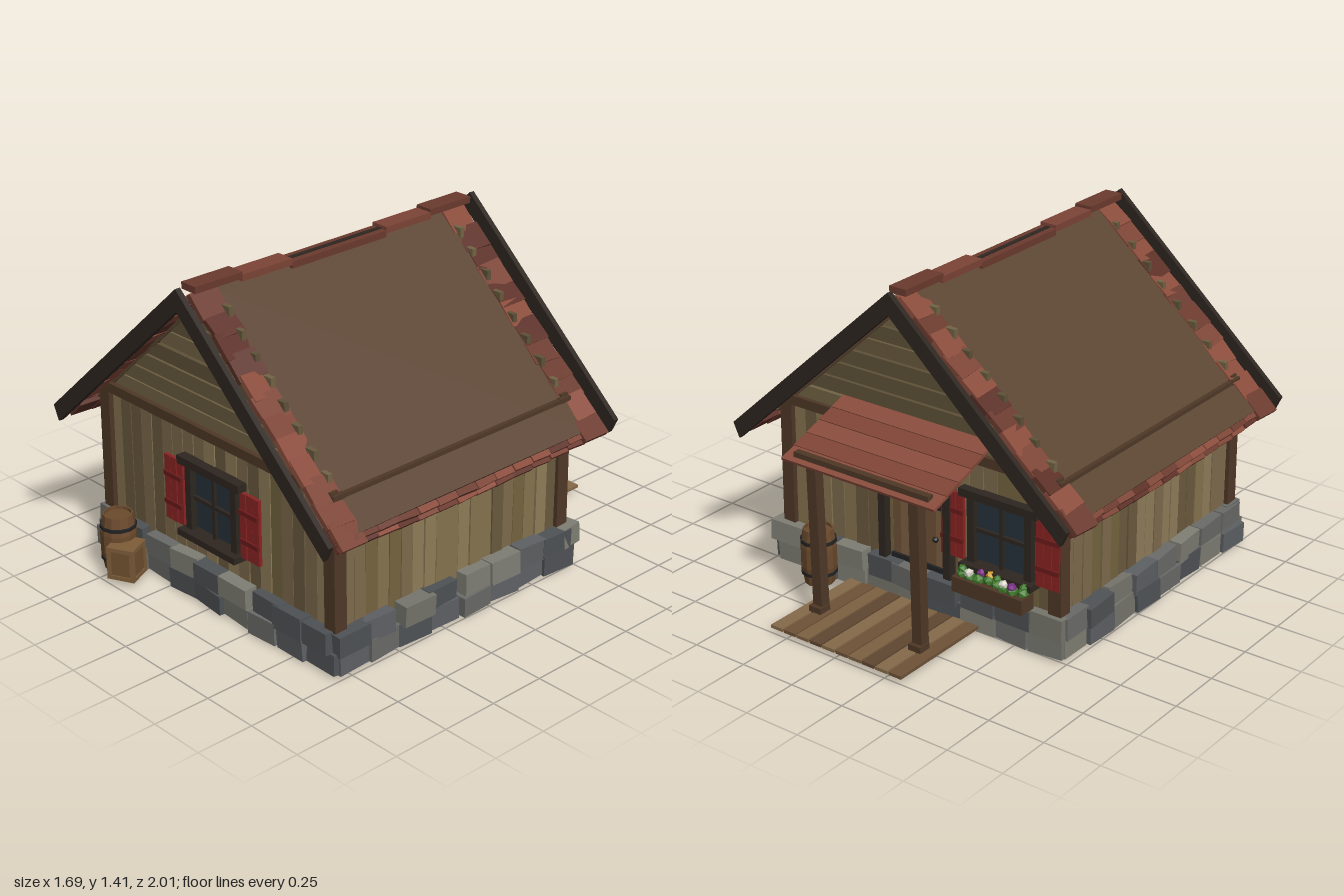
import * as THREE from 'three';

const WOOD = [0x85734f, 0x74643f, 0x8f7d59, 0x6a5a3e, 0x7d6b4c];
const GABLE = [0x685a3e, 0x5f5138, 0x726345];
const STONE = [0x75756c, 0x5d6063, 0x6a6b68, 0x4f5255, 0x7f7e74];
const TILE = [0x6b3a2e, 0x7c4436, 0x5c3027, 0x8a4c3c];
const DECK = [0x6e5237, 0x7d6142, 0x5f4630, 0x866a49];
const BEAM = 0x4f3827, DARK = 0x2e2620, RED = 0x8c2323, ROOF = 0x5b4432, IRON = 0x222224;
const SLOPE = 0.905, PITCH = Math.atan(SLOPE), RIDGE = 1.38;
const FRONT = 0.77, BACK = -0.46, MID = 0.155;

export function createModel() {
  const model = new THREE.Group();
  const mats = {};
  const mat = c => mats[c] ??= new THREE.MeshStandardMaterial({ color: c, flatShading: true });
  let seed = 7;
  const rnd = () => (seed = (seed * 16807) % 2147483647) / 2147483647;
  const jit = a => (rnd() * 2 - 1) * a;
  const pick = list => list[Math.floor(rnd() * list.length)];

  const group = (name, parent = model) => {
    const g = new THREE.Group();
    g.name = name;
    parent.add(g);
    return g;
  };
  const add = (parent, name, geo, color, x = 0, y = 0, z = 0, rx = 0, ry = 0, rz = 0) => {
    const m = new THREE.Mesh(geo, mat(color));
    m.name = name;
    m.position.set(x, y, z);
    m.rotation.set(rx, ry, rz);
    parent.add(m);
    return m;
  };
  const box = (parent, name, w, h, d, color, x, y, z, rx, ry, rz) =>
    add(parent, name, new THREE.BoxGeometry(w, h, d), color, x, y, z, rx, ry, rz);

  // A wall of upright planks, split around openings {u, half, y0, y1}
  const plankWall = (g, length, top, openings) => {
    const n = Math.round(length / 0.064), step = length / n;
    for (let i = 0; i < n; i++) {
      const u = -length / 2 + (i + 0.5) * step;
      const hole = openings.find(o => Math.abs(u - o.u) < o.half);
      const spans = hole ? [[0.1, hole.y0], [hole.y1, top]] : [[0.1, top]];
      const color = pick(WOOD), tilt = jit(0.008), w = step * (0.93 + rnd() * 0.06), off = jit(0.005);
      for (const [a, b] of spans)
        if (b - a > 0.01) box(g, 'wallPlank', w, b - a, 0.022, color, u, (a + b) / 2, off, 0, 0, tilt);
    }
  };

  // Two uneven courses of foundation stones
  const stoneRow = (g, length, z) => {
    for (let row = 0; row < 2; row++) {
      const n = Math.round(length / 0.17), step = length / n;
      for (let i = 0; i < n; i++) {
        const u = -length / 2 + (i + 0.5 + (row ? jit(0.15) : 0)) * step;
        box(g, 'foundationStone', step * (0.92 + rnd() * 0.12), 0.085 + rnd() * 0.015, 0.09 + rnd() * 0.02,
          pick(STONE), u, 0.057 + row * 0.085, z + jit(0.012), jit(0.05), jit(0.07), jit(0.05));
      }
    }
  };

  // Framed window with glazing bars and ledged shutters
  const windowUnit = (parent, u) => {
    const g = group('window', parent);
    g.position.set(u, 0, 0.01);
    box(g, 'glass', 0.27, 0.27, 0.012, 0x26333c, 0, 0.445, -0.005);
    box(g, 'mullion', 0.016, 0.28, 0.02, DARK, 0, 0.445, 0.005);
    box(g, 'transom', 0.25, 0.016, 0.02, DARK, 0, 0.445, 0.005);
    box(g, 'lintel', 0.375, 0.035, 0.045, DARK, 0, 0.602, 0.02);
    box(g, 'sill', 0.35, 0.028, 0.07, DARK, 0, 0.29, 0.025);
    for (const s of [-1, 1]) {
      box(g, 'jamb', 0.034, 0.29, 0.035, DARK, s * 0.138, 0.445, 0.012);
      for (let i = -1; i <= 1; i++)
        box(g, 'shutterBoard', 0.035, 0.285, 0.015, RED, s * 0.231 + i * 0.037, 0.443, 0.018 + jit(0.002));
      for (const y of [0.38, 0.505]) box(g, 'shutterLedge', 0.11, 0.02, 0.012, 0x6e1b1b, s * 0.231, y, 0.028);
    }
  };

  // Four walls, each built facing +z and then turned
  const wallAt = (name, x, z, ry) => {
    const g = group(name);
    g.position.set(x, 0, z);
    g.rotation.y = ry;
    return g;
  };
  const frontWall = wallAt('frontWall', 0, FRONT, 0);
  plankWall(frontWall, 1.31, 0.74, [{ u: 0, half: 0.13, y0: 0.3, y1: 0.6 }]);
  windowUnit(frontWall, 0);
  const backWall = wallAt('backWall', 0, BACK, Math.PI);
  plankWall(backWall, 1.31, 0.74, [{ u: 0.42, half: 0.13, y0: 0.3, y1: 0.6 }, { u: 0, half: 0.15, y0: 0.1, y1: 0.6 }]);
  windowUnit(backWall, 0.42);
  for (const g of [frontWall, backWall]) {
    stoneRow(g, 1.46, 0.01);
    box(g, 'tieBeam', 1.38, 0.042, 0.04, BEAM, 0, 0.75, 0.01);
    for (let y = 0.795; y < 1.36; y += 0.071) {
      const half = (1.41 - (y + 0.032)) / SLOPE + 0.012;
      box(g, 'gableBoard', half * 2, 0.062, 0.022, pick(GABLE), jit(0.005), y, jit(0.004), 0, 0, jit(0.002));
    }
  }
  for (const s of [-1, 1]) {
    const g = wallAt('sideWall', s * 0.68, MID, s * Math.PI / 2);
    plankWall(g, 1.19, 0.74, []);
    stoneRow(g, 1.3, 0.015);
    box(g, 'wallPlate', 1.27, 0.035, 0.03, BEAM, 0, 0.742, 0.01);
    for (const z of [FRONT, BACK]) box(model, 'cornerPost', 0.06, 0.755, 0.06, BEAM, s * 0.68, 0.384, z, 0, 0, s * 0.01);
  }

  // Roof decks with tiles along the verges and eaves
  const roof = group('roof');
  const onSlope = (s, x, w, h, d, lift, z, name, color, j = 0, drop = 0) =>
    box(roof, name, w, h, d, color, s * (x + lift * Math.sin(PITCH)), RIDGE - SLOPE * x + lift * Math.cos(PITCH) - drop, z,
      jit(j), jit(j), -s * (PITCH + jit(j)));
  for (const s of [-1, 1]) {
    onSlope(s, 0.405, 0.81 / Math.cos(PITCH), 0.03, 1.26, -0.015, MID, 'roofDeck', ROOF);
    for (let i = 0; i < 12; i++)
      for (const z of [0.815, -0.505])
        onSlope(s, 0.05 + i * 0.068, 0.115, 0.022, 0.13, -0.008, z + jit(0.006), 'vergeTile', pick(TILE), 0.07);
    for (let i = 0; i < 14; i++) {
      const u = (i - 6.5) / 6.5;
      for (let k = 0; k < 2; k++)
        onSlope(s, 0.785 + k * 0.012, 0.1, 0.02, 0.1, -0.012 - k * 0.02, MID + u * 0.675, 'eaveTile', pick(TILE), 0.05, 0.018 * (1 - u * u));
    }
  }
  // Sagging ridge caps
  [[0.765, 0.23, 1.398], [0.525, 0.25, 1.385], [0.15, 0.5, 1.37], [-0.225, 0.25, 1.385], [-0.462, 0.23, 1.398]]
    .forEach(([z, d, y], i) => box(roof, 'ridgeCap', 0.08, 0.028, d, TILE[i % 2], 0, y, z));
  box(roof, 'ridgePole', 0.02, 0.03, 0.5, DARK, 0, 1.373, 0.15);

  // Barge boards: one chevron at each end
  const chevron = new THREE.Shape([[0, 1.41], [0.835, 0.654], [0.805, 0.59], [0, 1.318], [-0.805, 0.59], [-0.835, 0.654]]
    .map(p => new THREE.Vector2(...p)));
  for (const z of [0.918, -0.638])
    add(roof, 'bargeBoard', new THREE.ExtrudeGeometry(chevron, { depth: 0.024, bevelEnabled: false }), DARK, 0, 0, z);

  // Door on the back wall
  const door = group('door', backWall);
  for (let i = 0; i < 5; i++) box(door, 'doorBoard', 0.056, 0.5, 0.02, DECK[i % 3], (i - 2) * 0.06, 0.34, 0);
  for (const y of [0.2, 0.48]) box(door, 'doorStrap', 0.27, 0.022, 0.012, IRON, 0, y, 0.016);
  for (const s of [-1, 1]) box(door, 'doorJamb', 0.035, 0.56, 0.05, DARK, s * 0.165, 0.34, 0.02);
  box(door, 'doorHead', 0.37, 0.04, 0.05, DARK, 0, 0.61, 0.02);
  add(door, 'doorKnob', new THREE.IcosahedronGeometry(0.014, 0), IRON, 0.1, 0.34, 0.03);

  // Porch: deck, posts, beam and lean-to roof
  const porch = group('porch');
  for (let i = 0; i < 10; i++)
    box(porch, 'deckBoard', 0.06, 0.014, 0.49, DECK[(i * 3) % 4], (i - 4.5) * 0.067, 0.032, -0.755);
  for (const s of [-1, 1]) {
    box(porch, 'porchPost', 0.046, 0.68, 0.046, BEAM, s * 0.255, 0.375, -0.79, -0.02);
    box(porch, 'porchFoot', 0.06, 0.03, 0.06, BEAM, s * 0.255, 0.05, -0.795);
    box(porch, 'porchRafter', 0.025, 0.025, 0.35, BEAM, s * 0.255, 0.745, -0.66, -0.35);
  }
  box(porch, 'porchBeam', 0.67, 0.035, 0.03, BEAM, 0, 0.712, -0.81);
  for (let i = 0; i < 5; i++) {
    const z = -0.5 - i * 0.076;
    box(porch, 'porchTileCourse', 0.76, 0.012, 0.09, [0x8a4c3c, 0x7f4536][i % 2], 0, 0.82 + (z + 0.5) * 0.37, z, -0.31);
  }

  // Lantern on a bracket
  const lantern = group('lantern');
  lantern.position.set(0.27, 0, -0.6);
  box(lantern, 'bracket', 0.012, 0.012, 0.13, IRON, 0, 0.68, 0.06);
  box(lantern, 'hanger', 0.008, 0.07, 0.008, IRON, 0, 0.65, 0);
  box(lantern, 'lanternBody', 0.05, 0.075, 0.05, IRON, 0, 0.585, 0);

  // Flower box under the back window
  const flowers = group('flowerBox');
  flowers.position.set(-0.42, 0, -0.54);
  box(flowers, 'planter', 0.34, 0.065, 0.08, BEAM, 0, 0.232, 0);
  const petals = [0x3f7a2c, 0xd8d4c8, 0x7c2f86, 0xd8a83a, 0x3f7a2c, 0xd8d4c8, 0x7c2f86, 0x3f7a2c];
  petals.forEach((c, i) => {
    add(flowers, 'leaves', new THREE.IcosahedronGeometry(0.026, 0), 0x3f7a2c, (i - 3.5) * 0.041, 0.27, jit(0.015), i);
    add(flowers, 'blossom', new THREE.IcosahedronGeometry(0.02, 0), c, (3.5 - i) * 0.041, 0.29, jit(0.02), i);
  });

  // Barrels and crate
  const profile = [[0, 0], [0.063, 0], [0.076, 0.08], [0.076, 0.165], [0.063, 0.245], [0.056, 0.245], [0.056, 0.232], [0, 0.232]]
    .map(p => new THREE.Vector2(...p));
  for (const [x, z] of [[-0.49, 0.9], [0.435, -0.588]]) {
    const barrel = group('barrel');
    barrel.position.set(x, 0.028, z);
    add(barrel, 'barrelBody', new THREE.LatheGeometry(profile, 12), 0x6b4a2c);
    for (const y of [0.052, 0.193])
      add(barrel, 'barrelHoop', new THREE.CylinderGeometry(0.0765, 0.0765, 0.014, 12), IRON, 0, y, 0);
  }
  const crate = group('crate');
  crate.position.set(-0.41, 0.1, 0.925);
  crate.rotation.y = 0.45;
  box(crate, 'crateBody', 0.11, 0.14, 0.11, 0x6f5030, 0, 0, 0);
  for (const y of [-0.063, 0.063]) box(crate, 'crateRim', 0.12, 0.018, 0.12, 0x7d5c38, 0, y, 0);
  for (const sx of [-1, 1]) for (const sz of [-1, 1])
    box(crate, 'crateCorner', 0.018, 0.14, 0.018, 0x7d5c38, sx * 0.051, 0, sz * 0.051);

  return model;
}
